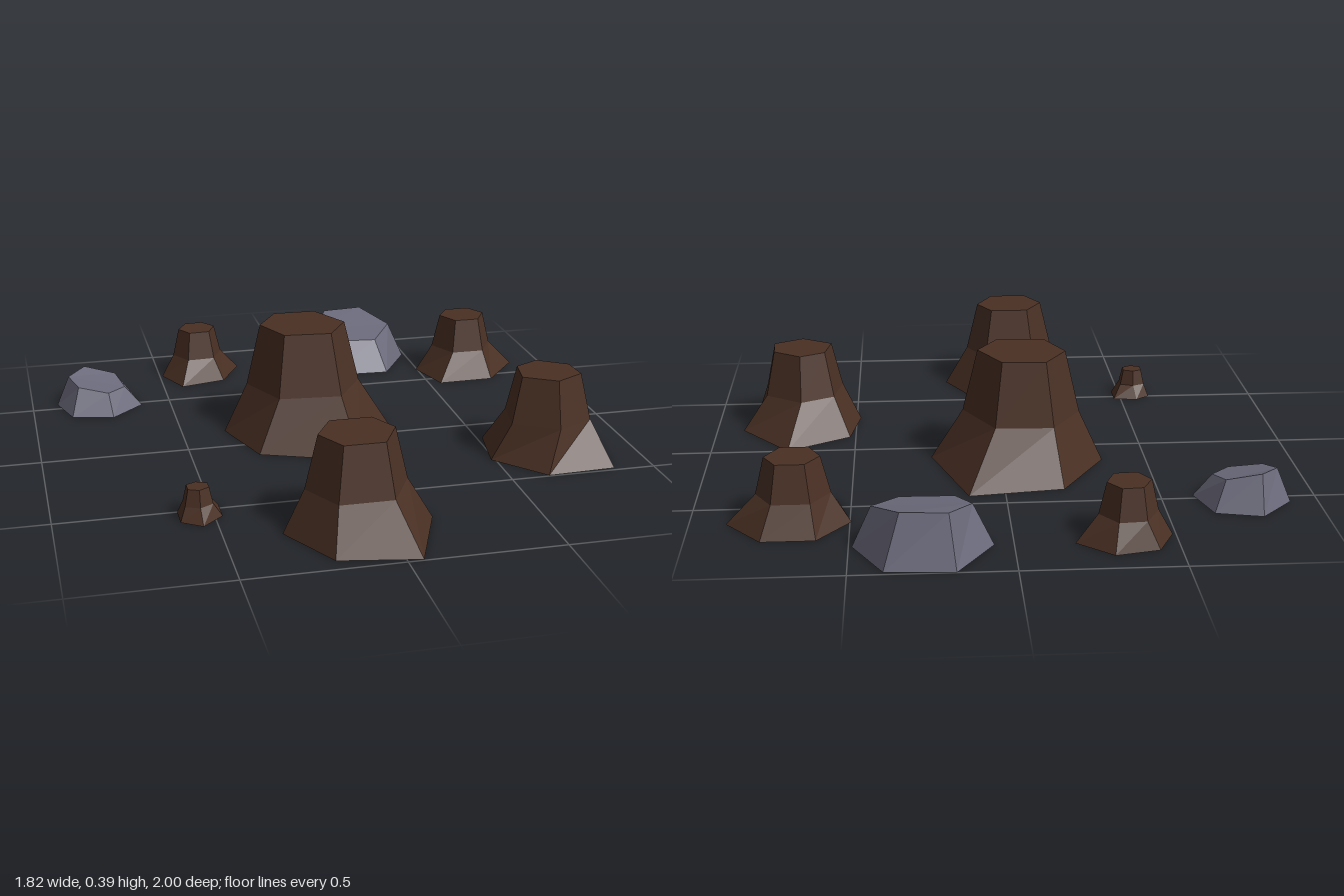
import * as THREE from 'three';

const wood = new THREE.MeshStandardMaterial({ color: 0x4a3024 });
wood.name = 'darkWood';
const stone = new THREE.MeshStandardMaterial({ color: 0x6b6a7b });
stone.name = 'greyStone';
const underside = new THREE.MeshStandardMaterial({ color: 0x1a0806 });
underside.name = 'darkUnderside';

// Faceted solid skinned through hexagonal rings (bottom to top), with its own underside material.
function loft(name, rings, material) {
  const pos = [];
  const tri = (...pts) => pts.forEach((p) => pos.push(...p));
  const n = rings[0].length;
  for (let r = 0; r < rings.length - 1; r++) {
    const lo = rings[r], hi = rings[r + 1];
    for (let i = 0; i < n; i++) {
      const j = (i + 1) % n;
      tri(lo[j], lo[i], hi[i]);
      tri(lo[j], hi[i], hi[j]);
    }
  }
  const top = rings[rings.length - 1], base = rings[0];
  for (let i = 1; i < n - 1; i++) tri(top[0], top[i + 1], top[i]);
  const sideCount = pos.length / 3;
  for (let i = 1; i < n - 1; i++) tri(base[0], base[i], base[i + 1]);

  const geo = new THREE.BufferGeometry();
  geo.setAttribute('position', new THREE.Float32BufferAttribute(pos, 3));
  geo.computeVertexNormals();
  geo.addGroup(0, sideCount, 0);
  geo.addGroup(sideCount, pos.length / 3 - sideCount, 1);
  const mesh = new THREE.Mesh(geo, [material, underside]);
  mesh.name = name;
  return mesh;
}

const atHeight = (pts, y) => pts.map(([x, z]) => [x, y, z]);

// Outline widened about its own centre
function widen(pts, k) {
  const cx = pts.reduce((s, p) => s + p[0], 0) / pts.length;
  const cz = pts.reduce((s, p) => s + p[1], 0) / pts.length;
  return pts.map(([x, z]) => [cx + (x - cx) * k, cz + (z - cz) * k]);
}

// Stump: flared root outline, narrower waist, flat cut top
function stump({ name, h, base, cap }) {
  const rings = [atHeight(base, 0), atHeight(widen(cap, 1.34), h * 0.45), atHeight(cap, h)];
  return loft(name, rings, wood);
}

// Outlines are [x, z] points running left, back, right, front
const stumps = [
  {
    name: 'largeCentreStump', h: 0.39,
    base: [[-0.35, -0.145], [-0.195, -0.4], [0.12, -0.44], [0.235, -0.085], [0.055, 0.23], [-0.27, 0.1]],
    cap: [[-0.22, -0.13], [-0.145, -0.25], [0, -0.245], [0.075, -0.1], [0, 0.02], [-0.16, 0.005]],
  },
  {
    name: 'frontStump', h: 0.315,
    base: [[-0.32, 0.73], [-0.215, 0.515], [0.025, 0.45], [0.16, 0.715], [0.05, 0.995], [-0.205, 0.945]],
    cap: [[-0.21, 0.73], [-0.15, 0.625], [-0.015, 0.625], [0.035, 0.72], [-0.025, 0.835], [-0.155, 0.835]],
  },
  {
    name: 'leftStump', h: 0.29,
    base: [[0.52, 0.125], [0.735, 0], [0.905, 0.215], [0.865, 0.485], [0.63, 0.495], [0.485, 0.325]],
    cap: [[0.605, 0.215], [0.69, 0.17], [0.785, 0.235], [0.79, 0.335], [0.69, 0.39], [0.585, 0.325]],
  },
  {
    name: 'backLeftStump', h: 0.22,
    base: [[0.495, -0.62], [0.6, -0.755], [0.77, -0.755], [0.885, -0.615], [0.75, -0.45], [0.545, -0.445]],
    cap: [[0.585, -0.61], [0.63, -0.68], [0.72, -0.68], [0.76, -0.61], [0.715, -0.53], [0.625, -0.53]],
  },
  {
    name: 'backRightStump', h: 0.185,
    base: [[-0.49, -0.77], [-0.435, -0.885], [-0.295, -0.915], [-0.185, -0.82], [-0.265, -0.67], [-0.43, -0.63]],
    cap: [[-0.42, -0.775], [-0.385, -0.84], [-0.32, -0.845], [-0.28, -0.79], [-0.31, -0.72], [-0.385, -0.715]],
  },
  {
    name: 'tinyStump', h: 0.1,
    base: [[-0.61, 0.5], [-0.56, 0.46], [-0.475, 0.475], [-0.475, 0.56], [-0.545, 0.625], [-0.61, 0.58]],
    cap: [[-0.582, 0.52], [-0.55, 0.505], [-0.515, 0.52], [-0.515, 0.555], [-0.548, 0.575], [-0.582, 0.56]],
  },
];

// Rocks: sloping top given as [x, y, z]
const rocks = [
  {
    name: 'largeRock',
    base: [[0.06, -0.815], [0.18, -1], [0.395, -0.985], [0.49, -0.805], [0.375, -0.615], [0.155, -0.625]],
    top: [[0.125, 0.135, -0.81], [0.2, 0.165, -0.945], [0.345, 0.17, -0.945],
      [0.43, 0.135, -0.81], [0.345, 0.112, -0.69], [0.175, 0.115, -0.7]],
  },
  {
    name: 'smallRock',
    base: [[-0.91, -0.545], [-0.8, -0.66], [-0.65, -0.625], [-0.605, -0.475], [-0.72, -0.365], [-0.865, -0.4]],
    top: [[-0.865, 0.112, -0.53], [-0.8, 0.122, -0.605], [-0.69, 0.095, -0.58],
      [-0.665, 0.075, -0.48], [-0.73, 0.075, -0.42], [-0.835, 0.095, -0.45]],
  },
];

export function createModel() {
  const group = new THREE.Group();
  group.name = 'stumpsAndRocks';
  for (const s of stumps) group.add(stump(s));
  for (const r of rocks) group.add(loft(r.name, [atHeight(r.base, 0), r.top], stone));
  return group;
}
